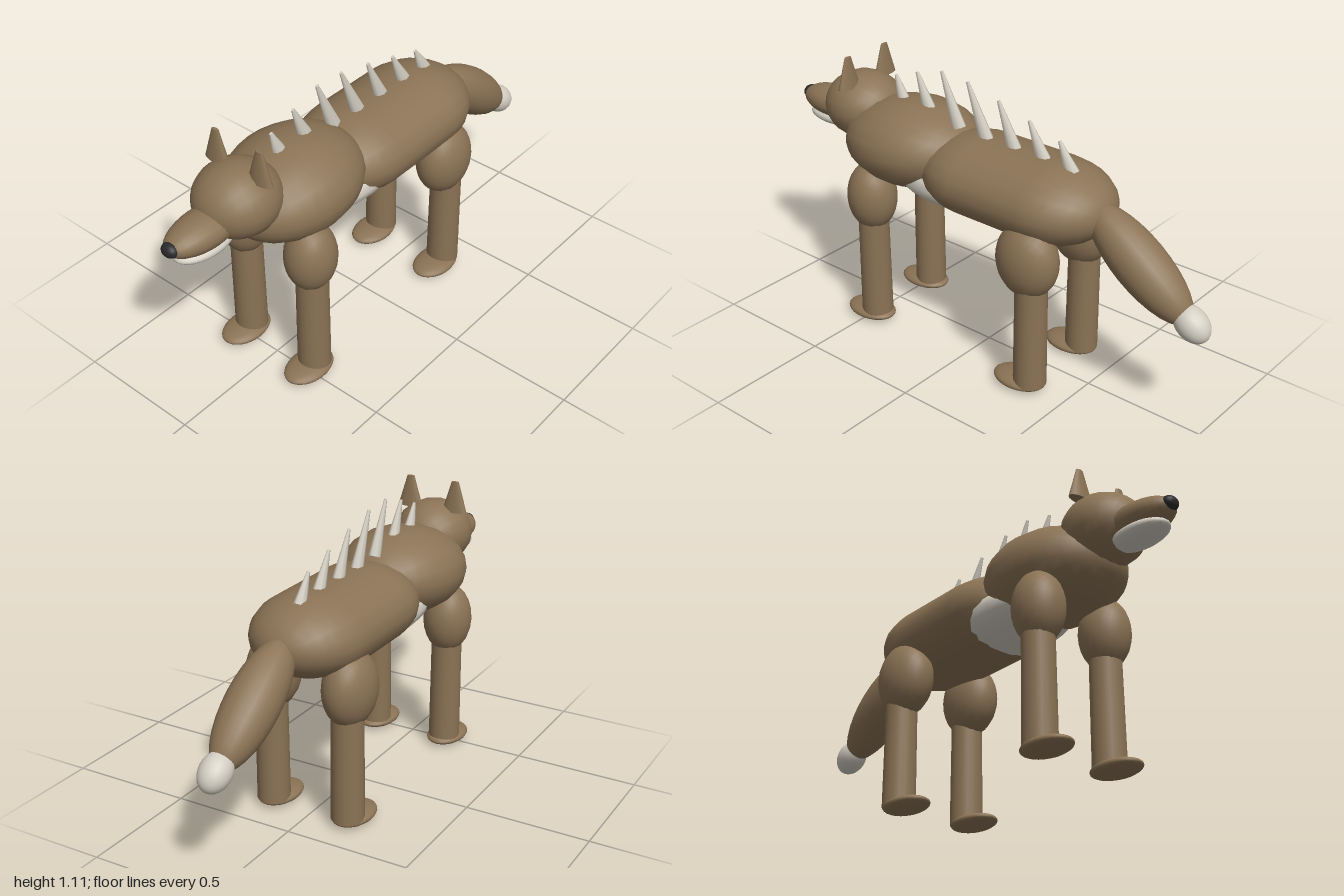
import * as THREE from 'three';

const fur = new THREE.MeshStandardMaterial({ name: 'brown fur', color: 0x8b7355 });
const pale = new THREE.MeshStandardMaterial({ name: 'pale bone', color: 0xd3cec2 });
const dark = new THREE.MeshStandardMaterial({ name: 'dark nose', color: 0x2a2a2a });

// unit ball with its poles along z, stretched per part
const ball = new THREE.SphereGeometry(1, 20, 16).rotateX(Math.PI / 2);

export function createModel() {
  const model = new THREE.Group();
  model.name = 'spinedWolf';

  const add = (name, geometry, material, position, scale = [1, 1, 1], tilt = 0) => {
    const mesh = new THREE.Mesh(geometry, material);
    mesh.name = name;
    mesh.position.set(...position);
    mesh.scale.set(...scale);
    mesh.rotation.x = tilt;
    model.add(mesh);
    return mesh;
  };
  const blob = (name, material, position, radii, tilt) => add(name, ball, material, position, radii, tilt);

  // trunk
  const trunk = new THREE.CapsuleGeometry(0.26, 0.32, 8, 20).rotateX(Math.PI / 2);
  add('body', trunk, fur, [0, 0.742, -0.14], [0.885, 0.6, 1]);
  blob('chest', fur, [0, 0.778, 0.385], [0.247, 0.175, 0.3], 0.06);
  blob('belly', pale, [0, 0.688, 0.14], [0.19, 0.1, 0.32]);

  // head
  blob('head', fur, [0, 0.862, 0.653], [0.16, 0.138, 0.165]);
  blob('muzzle', fur, [0, 0.826, 0.82], [0.087, 0.064, 0.168]);
  blob('jaw', pale, [0, 0.768, 0.825], [0.076, 0.034, 0.13]);
  blob('nose', dark, [0, 0.83, 0.973], [0.035, 0.027, 0.027]);
  const ear = new THREE.CylinderGeometry(0.016, 0.055, 0.127, 16);
  for (const [side, s] of [['left', 1], ['right', -1]]) {
    add(side + 'Ear', ear, fur, [s * 0.102, 1.028, 0.637], [1, 1, 0.42]);
  }

  // legs: thigh, shank and paw for each corner
  const shank = new THREE.CylinderGeometry(0.062, 0.065, 0.47, 20);
  const corners = [
    { end: 'front', thigh: [0.567, 0.47], radii: [0.098, 0.145, 0.103], shankZ: 0.467, pawZ: 0.5 },
    { end: 'hind', thigh: [0.56, -0.32], radii: [0.098, 0.152, 0.13], shankZ: -0.341, pawZ: -0.292 },
  ];
  for (const c of corners) {
    for (const [side, s] of [['Left', 1], ['Right', -1]]) {
      blob(c.end + side + 'Thigh', fur, [s * 0.165, ...c.thigh], c.radii);
      add(c.end + side + 'Shank', shank, fur, [s * 0.166, 0.265, c.shankZ]);
      blob(c.end + side + 'Paw', fur, [s * 0.166, 0.028, c.pawZ], [0.078, 0.027, 0.112]);
    }
  }

  // drooping tail with a pale tip
  blob('tail', fur, [0, 0.612, -0.7], [0.1, 0.1, 0.275], -0.64);
  blob('tailTip', pale, [0, 0.451, -0.93], [0.06, 0.06, 0.08], -0.64);

  // row of forward-leaning spines: tip z, tip y, base z, base y
  const spines = [
    [0.475, 1.03, 0.432, 0.92], [0.362, 1.07, 0.3, 0.925], [0.235, 1.105, 0.15, 0.895],
    [0.105, 1.095, 0.013, 0.885], [-0.045, 1.06, -0.125, 0.88], [-0.19, 1.02, -0.262, 0.88],
    [-0.33, 0.98, -0.39, 0.87],
  ];
  spines.forEach(([tipZ, tipY, baseZ, baseY], i) => {
    const dz = tipZ - baseZ, dy = tipY - baseY;
    const cone = new THREE.CylinderGeometry(0.006, 0.027, Math.hypot(dz, dy), 8);
    add('spine' + (i + 1), cone, pale, [0, (tipY + baseY) / 2, (tipZ + baseZ) / 2],
      [0.85, 1, 1.2], Math.atan2(dz, dy));
  });

  return model;
}
